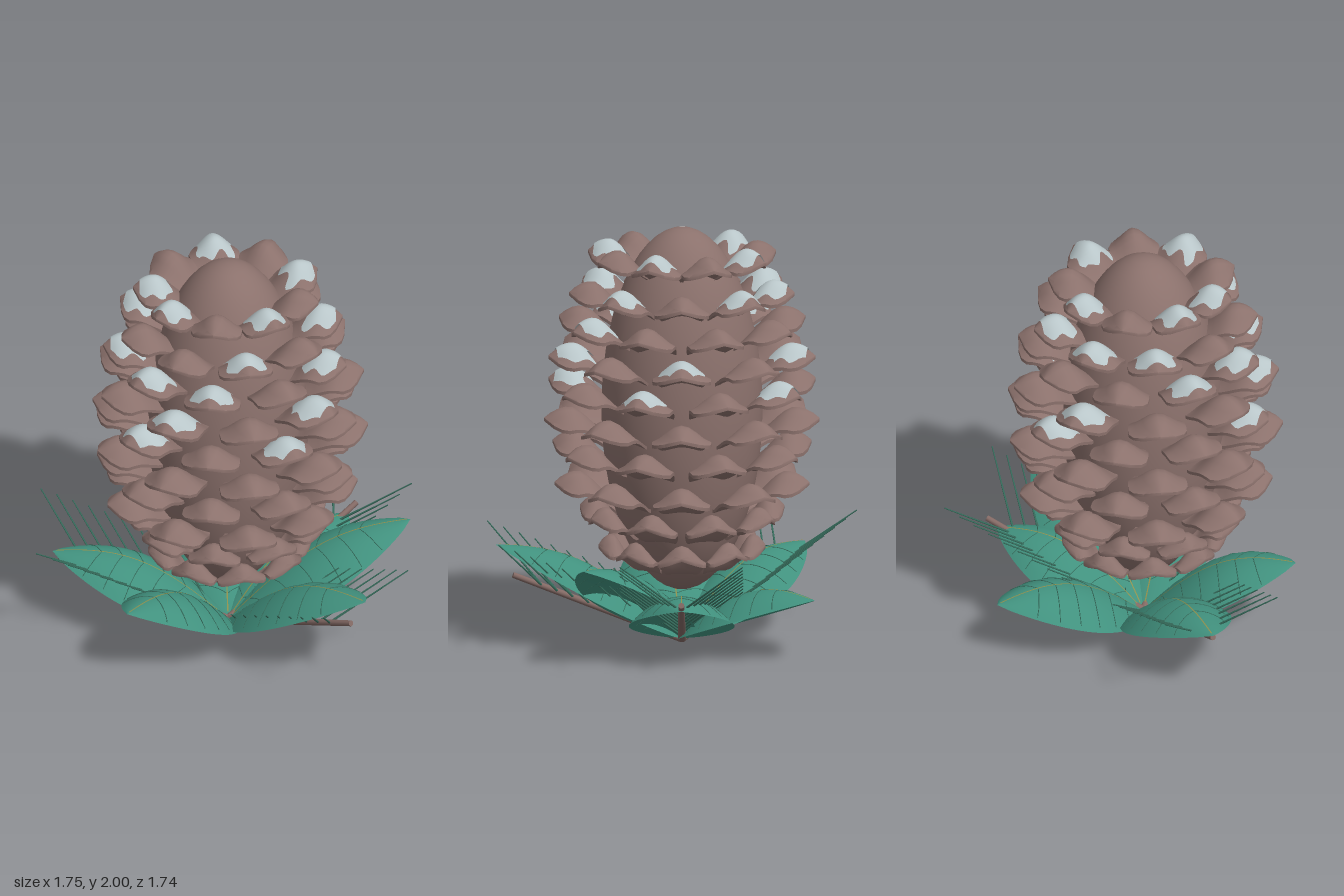
import * as THREE from 'three';
import { toCreasedNormals, mergeGeometries } from 'three/addons/utils/BufferGeometryUtils.js';

const mat = (name, color) =>
  Object.assign(new THREE.MeshStandardMaterial({ color, side: THREE.DoubleSide }), { name });

// Grid surface from a rule p(u, v) with u in -1..1 and v in 0..1; a thickness makes it a closed shell
function sheet(p, nu, nv, thick = 0) {
  const ring = [];
  for (let i = 0; i <= nu; i++) ring.push([-1 + (2 * i) / nu, 0]);
  if (thick) {
    for (let i = nu; i >= 0; i--) ring.push([-1 + (2 * i) / nu, -thick]);
    ring.push([-1, 0]);
  }
  const pos = [], idx = [], n = ring.length;
  for (let j = 0; j <= nv; j++) {
    for (const [u, dy] of ring) {
      const [x, y, z] = p(u, j / nv);
      pos.push(x, y + dy, z);
    }
  }
  for (let j = 0; j < nv; j++) {
    for (let i = 0; i < n - 1; i++) {
      const a = j * n + i, b = a + 1, c = a + n, d = c + 1;
      idx.push(a, b, c, b, d, c);
    }
  }
  const g = new THREE.BufferGeometry();
  g.setAttribute('position', new THREE.Float32BufferAttribute(pos, 3));
  g.setIndex(idx);
  g.computeVertexNormals();
  return thick ? toCreasedNormals(g, 0.9) : g;
}

// Tapered rod between two points
function rod(a, b, r0, r1, sides) {
  const A = new THREE.Vector3(...a), B = new THREE.Vector3(...b);
  const dir = B.clone().sub(A);
  const g = new THREE.CylinderGeometry(r1, r0, dir.length(), sides);
  g.applyQuaternion(new THREE.Quaternion().setFromUnitVectors(new THREE.Vector3(0, 1, 0), dir.normalize()));
  return g.translate(...A.add(B).multiplyScalar(0.5).toArray());
}

// Scale: climbs from the core, arches across with curled sides, and dips to a pointed tip
function scaleRule(r0, R) {
  const W = 0.075 + 0.1 * R;
  return (u, v) => {
    const s = Math.max(0, (v - 0.66) / 0.34);
    const t = Math.min(1, v / 0.66);
    const k = v < 0.66 ? 0.5 + 0.5 * Math.sin((Math.PI / 2) * t) : 1 - Math.pow(s, 2.3);
    const mid = -0.1 + 0.145 * t * t * (3 - 2 * t) - 0.05 * s * s;
    const droop = (0.165 * u * u - 0.075 * u ** 4) * k * t;
    return [r0 + (R - r0) * v, mid - droop, u * W * k];
  };
}

// Leaf: broad blade, humped along its length, with sides arching down
function leafRule(len, top) {
  return (u, v) => {
    const bow = Math.sin(Math.PI * v);
    const w = 0.25 * Math.pow(Math.max(0, Math.sin(Math.PI * Math.pow(v, 0.9))), 0.75);
    const y = 0.02 + (top - 0.02) * v + 0.13 * bow;
    return [len * v, y - 0.13 * u * u * bow, u * w];
  };
}

export function createModel() {
  const model = new THREE.Group();
  model.name = 'pineCone';
  const brown = mat('cone brown', 0x8b716c);
  const snowWhite = mat('snow', 0xb9c6c9);
  const green = mat('leaf green', 0x41917e);
  const needleGreen = mat('needle green', 0x38705f);
  const bark = mat('twig bark', 0x846a65);
  const gold = mat('midrib gold', 0x8f8f4c);

  const hub = new THREE.Group();
  hub.name = 'hub';
  hub.position.set(-0.03, 0, -0.05);
  model.add(hub);
  const add = (name, geo, material, deg = 0, y = 0) => {
    const m = new THREE.Mesh(geo, material);
    m.name = name;
    m.rotation.y = -THREE.MathUtils.degToRad(deg);
    m.position.y = y;
    hub.add(m);
  };

  // Core
  const coreY = 1.13, coreH = 0.87, coreR = 0.38;
  add('core', new THREE.SphereGeometry(1, 40, 28).scale(coreR, coreH, coreR), brown, 0, coreY);

  // Ten tiers of nine scales, alternate tiers turned by half a step: height, reach, snowy angles
  const tiers = [
    [1.88, 0.45, [20, 100, 180, 220, 300]],
    [1.71, 0.54, [40, 120, 240, 280, 320]],
    [1.56, 0.59, [60, 140, 180, 220]],
    [1.41, 0.64, [0, 80, 160, 280]],
    [1.26, 0.64, [20, 100, 180, 300]],
    [1.11, 0.66, []],
    [0.96, 0.62, []],
    [0.8, 0.61, []],
    [0.65, 0.49, []],
    [0.49, 0.4, []],
  ];
  tiers.forEach(([y, R, snowy], i) => {
    const h = (y - coreY) / coreH;
    const r0 = coreR * Math.sqrt(1 - h * h) * 0.85;
    const rule = scaleRule(r0, R);
    const scaleGeo = sheet(rule, 8, 10, 0.016);
    // Snow patch lying on the raised middle, with wavy edges
    const snowGeo = sheet((u, v) => {
      const start = 0.4 + 0.06 * Math.sin(5 * u + i);
      const [px, py, pz] = rule(u * (0.72 + 0.08 * Math.sin(9 * v + i)), start + (0.89 - start) * v);
      return [px, py + 0.007, pz];
    }, 12, 10);
    for (let k = 0; k < 9; k++) {
      const deg = k * 40 + (i % 2 ? 0 : 20);
      add('scale', scaleGeo, brown, deg, y);
      if (snowy.includes(deg)) add('snowPatch', snowGeo, snowWhite, deg, y);
    }
  });

  // Leaves: angle, length, tip height
  const leaves = [
    [84, 0.885, 0.49], [32, 0.87, 0.49], [0, 0.75, 0.3],
    [308, 0.79, 0.3], [224, 0.83, 0.37], [171, 0.74, 0.4],
  ];
  for (const [deg, len, top] of leaves) {
    const rule = leafRule(len, top);
    add('leaf', sheet(rule, 12, 20), green, deg);
    add('midrib', sheet((u, v) => {
      const [px, py] = rule(0, 0.03 + 0.95 * v);
      return [px, py + 0.004, u * 0.003];
    }, 1, 20), gold, deg);
    // Side veins
    const veins = [];
    for (let k = 1; k <= 6; k++) {
      for (const side of [-1, 1]) {
        const at = (t) => {
          const [px, py, pz] = rule(side * t * 0.92, 0.12 * k + 0.1 * t);
          return new THREE.Vector3(px, py + 0.001, pz);
        };
        const path = new THREE.CatmullRomCurve3([0, 0.25, 0.5, 0.75, 1].map(at));
        veins.push(new THREE.TubeGeometry(path, 8, 0.002, 4));
      }
    }
    add('leafVeins', mergeGeometries(veins), needleGreen, deg);
  }

  // Twigs with paired needles
  for (const deg of [0, 84.5, 223]) {
    add('twig', rod([0, 0.02, 0], [0.8, 0.34, 0], 0.02, 0.014, 10), bark, deg);
    const needles = [];
    for (let k = 0; k < 9; k++) {
      const x = 0.06 + k * 0.075, y = 0.02 + x * 0.4;
      for (const side of [-1, 1]) {
        needles.push(rod([x, y, 0], [x + 0.235, y + 0.26, side * 0.29], 0.006, 0.003, 5));
      }
    }
    add('needles', mergeGeometries(needles), needleGreen, deg);
  }
  return model;
}
